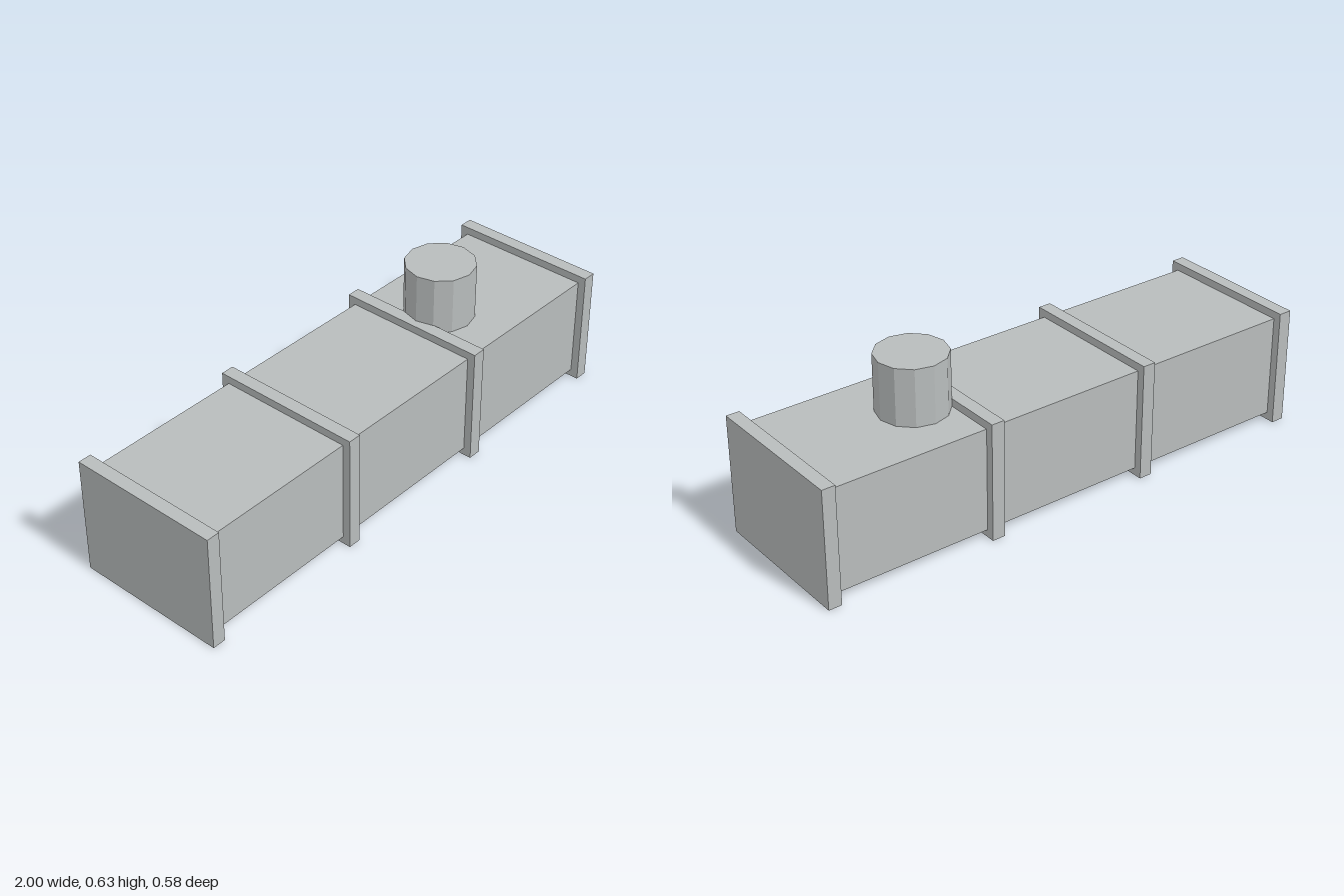
import * as THREE from 'three';

export function createModel() {
  const group = new THREE.Group();
  group.name = 'ventilationDuct';
  const metal = new THREE.MeshStandardMaterial({ color: 0xb8bcbc, flatShading: true });
  metal.name = 'galvanizedGrey';

  const add = (name, geometry, x, y, z) => {
    const mesh = new THREE.Mesh(geometry, metal);
    mesh.name = name;
    mesh.position.set(x, y, z);
    group.add(mesh);
  };

  const midY = 0.224;

  // Long rectangular duct, ending inside the outer flanges
  add('ductBody', new THREE.BoxGeometry(1.96, 0.39, 0.52), 0, midY, 0);

  // Four evenly spaced flanges
  for (let i = 0; i < 4; i++) {
    add('flange' + (i + 1), new THREE.BoxGeometry(0.05, 0.448, 0.58), -0.975 + i * 0.65, midY, 0);
  }

  // Round outlet on top, sunk slightly into the duct
  const bottom = 0.4, top = 0.633;
  add('topOutlet', new THREE.CylinderGeometry(0.13, 0.13, top - bottom, 12), 0.46, (top + bottom) / 2, 0);

  return group;
}
